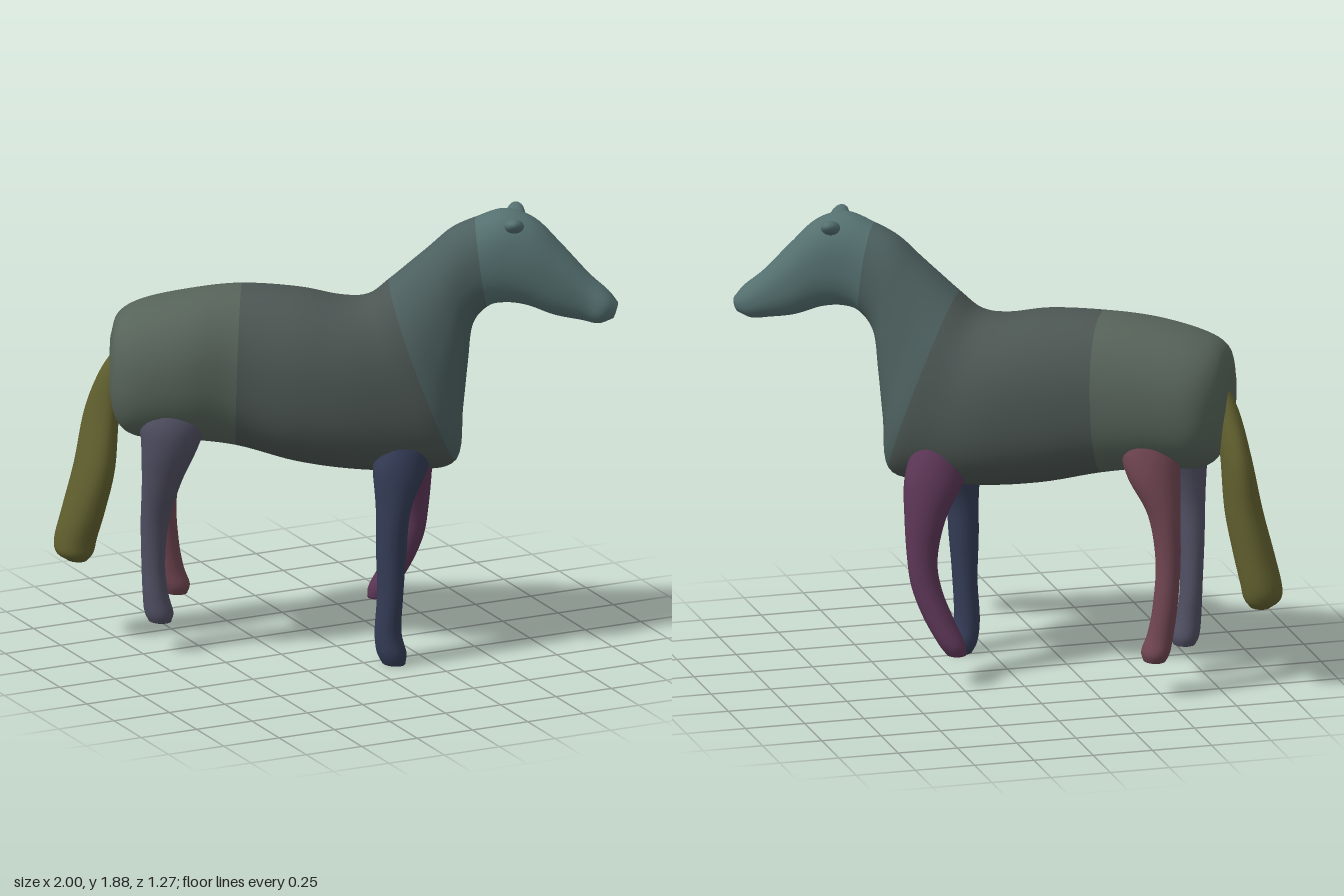
import * as THREE from 'three';

const V = (x, y, z) => new THREE.Vector3(x, y, z);
const soften = (v, power) => Math.sign(v) * Math.abs(v) ** power;

// Smooth closed skin through rounded rings; each row is [centre, half axis A, half axis B].
// A power below 1 makes the rings fuller than an ellipse.
function loft(rows, rings, sides, power) {
  const [centre, axisA, axisB] = [0, 1, 2].map(
    k => new THREE.CatmullRomCurve3(rows.map(r => r[k]), false, 'catmullrom', 0.5));
  const pos = [], index = [];
  const put = v => pos.push(v.x, v.y, v.z);
  for (let i = 0; i <= rings; i++) {
    const c = centre.getPoint(i / rings), a = axisA.getPoint(i / rings), b = axisB.getPoint(i / rings);
    for (let j = 0; j < sides; j++) {
      const t = (j / sides) * Math.PI * 2;
      put(c.clone().addScaledVector(a, soften(Math.cos(t), power)).addScaledVector(b, soften(Math.sin(t), power)));
    }
  }
  const first = (rings + 1) * sides, last = first + 1;
  put(centre.getPoint(0));
  put(centre.getPoint(1));
  for (let j = 0; j < sides; j++) index.push(first, (j + 1) % sides, j);
  for (let i = 0; i < rings; i++) {
    for (let j = 0; j < sides; j++) {
      const a = i * sides + j, b = i * sides + (j + 1) % sides;
      index.push(a, b, a + sides, b, b + sides, a + sides);
    }
  }
  for (let j = 0; j < sides; j++) index.push(last, rings * sides + j, rings * sides + (j + 1) % sides);
  const g = new THREE.BufferGeometry();
  g.setAttribute('position', new THREE.Float32BufferAttribute(pos, 3));
  g.setIndex(index);
  g.computeVertexNormals();
  return g;
}

function addMesh(parent, name, geometry, color) {
  const mesh = new THREE.Mesh(geometry, new THREE.MeshStandardMaterial({ color }));
  mesh.name = name;
  parent.add(mesh);
  return mesh;
}

// Leg or tail from horizontal rings: [x, y, z, radius x, radius z]
function addLimb(parent, name, rows, color) {
  const data = rows.map(([x, y, z, rx, rz]) => [V(x, y, z), V(rx, 0, 0), V(0, 0, rz)]);
  addMesh(parent, name, loft(data, 45, 24, 1), color);
}

export function createModel() {
  const horse = new THREE.Group();
  horse.name = 'horse';

  // Trunk, neck and head lie along local x and are turned toward the front
  const body = new THREE.Group();
  body.name = 'body';
  body.rotation.y = -0.49;
  body.position.z = 0.03;
  horse.add(body);

  // [top x, top y, bottom x, bottom y, half width, sideways shift], rump to muzzle
  const sections = [
    [-0.93, 1.32, -0.93, 1.08, 0.11, 0.02],
    [-0.90, 1.41, -0.90, 0.97, 0.20, 0.01],
    [-0.80, 1.465, -0.82, 0.91, 0.262, 0],
    [-0.60, 1.51, -0.64, 0.90, 0.28, 0],
    [-0.40, 1.53, -0.42, 0.87, 0.27, -0.015],
    [-0.17, 1.52, -0.17, 0.81, 0.295, 0],
    [0.00, 1.49, 0.08, 0.78, 0.295, 0.005],
    [0.11, 1.50, 0.32, 0.78, 0.265, 0.01],
    [0.20, 1.57, 0.475, 0.82, 0.24, 0.01],
    [0.28, 1.64, 0.50, 1.03, 0.20, 0.01],
    [0.36, 1.71, 0.52, 1.23, 0.17, 0.01],
    [0.45, 1.79, 0.54, 1.39, 0.145, 0.01],
    [0.55, 1.84, 0.60, 1.47, 0.13, 0.015],
    [0.67, 1.88, 0.67, 1.49, 0.125, 0.02],
    [0.79, 1.84, 0.76, 1.48, 0.122, 0.02],
    [0.90, 1.73, 0.87, 1.44, 0.11, 0.02],
    [1.01, 1.61, 0.98, 1.42, 0.09, 0.025],
    [1.09, 1.54, 1.05, 1.41, 0.08, 0.035],
    [1.13, 1.49, 1.11, 1.43, 0.045, 0.035],
  ];
  const rows = sections.map(([tx, ty, bx, by, w, off]) => [
    V((tx + bx) / 2, (ty + by) / 2, off),
    V((tx - bx) / 2, (ty - by) / 2, 0),
    V(0, 0, w),
  ]);
  const steps = 6, sides = 48, rings = (sections.length - 1) * steps;
  const skin = loft(rows, rings, sides, 0.9);

  // One continuous skin, divided into named regions by section number
  const regions = [
    ['hindquarters', 0, 4, 0x566359],
    ['barrel', 4, 8, 0x4b5552],
    ['neck', 8, 12, 0x4c605f],
    ['head', 12, 18, 0x557070],
  ];
  const all = Array.from(skin.index.array), cap = sides * 3, band = sides * 6;
  for (const [name, from, to, color] of regions) {
    const start = from === 0 ? 0 : cap + from * steps * band;
    const end = to * steps === rings ? all.length : cap + to * steps * band;
    const g = skin.clone();
    g.setIndex(all.slice(start, end));
    addMesh(body, name, g, color);
  }

  // Short rounded ears lying out sideways beside the poll
  for (const side of [-1, 1]) {
    const ear = addMesh(body, side > 0 ? 'rightEar' : 'leftEar', new THREE.SphereGeometry(1, 20, 14), 0x557070);
    ear.scale.set(0.04, 0.03, 0.085);
    ear.position.set(0.71, 1.83, 0.02 + side * 0.075);
    ear.rotation.x = -side * 0.35;
  }

  // Legs, each from its tapered root inside the trunk down to the hoof
  addLimb(horse, 'rightForeleg', [
    [0.20, 1.08, 0.24, 0.05, 0.04], [0.19, 0.98, 0.26, 0.11, 0.09], [0.15, 0.84, 0.29, 0.12, 0.095],
    [0.105, 0.66, 0.31, 0.07, 0.08], [0.095, 0.48, 0.31, 0.06, 0.07], [0.09, 0.30, 0.31, 0.05, 0.065],
    [0.085, 0.14, 0.30, 0.052, 0.063], [0.10, 0.05, 0.30, 0.058, 0.072], [0.11, 0.0, 0.30, 0.045, 0.06],
  ], 0x343c56);
  addLimb(horse, 'leftForeleg', [
    [0.25, 1.10, 0.05, 0.05, 0.04], [0.27, 0.98, 0.025, 0.11, 0.09], [0.31, 0.84, -0.01, 0.125, 0.095],
    [0.36, 0.68, -0.045, 0.085, 0.075], [0.378, 0.52, -0.065, 0.062, 0.06], [0.365, 0.40, -0.08, 0.06, 0.062],
    [0.325, 0.28, -0.11, 0.06, 0.065], [0.28, 0.18, -0.145, 0.055, 0.06], [0.26, 0.13, -0.155, 0.04, 0.045],
  ], 0x5c3656);
  addLimb(horse, 'rightHindLeg', [
    [-0.63, 1.18, -0.19, 0.06, 0.05], [-0.65, 1.04, -0.17, 0.14, 0.12], [-0.675, 0.91, -0.155, 0.12, 0.11],
    [-0.70, 0.74, -0.185, 0.078, 0.085], [-0.705, 0.56, -0.235, 0.055, 0.067], [-0.70, 0.38, -0.26, 0.045, 0.06],
    [-0.69, 0.25, -0.26, 0.05, 0.06], [-0.675, 0.17, -0.26, 0.057, 0.067], [-0.67, 0.13, -0.26, 0.045, 0.055],
  ], 0x504f62);
  addLimb(horse, 'leftHindLeg', [
    [-0.50, 1.18, -0.36, 0.06, 0.05], [-0.49, 1.04, -0.39, 0.12, 0.10], [-0.49, 0.91, -0.435, 0.11, 0.10],
    [-0.52, 0.75, -0.485, 0.065, 0.08], [-0.53, 0.56, -0.51, 0.05, 0.062], [-0.515, 0.38, -0.52, 0.05, 0.057],
    [-0.495, 0.26, -0.52, 0.053, 0.06], [-0.475, 0.19, -0.52, 0.058, 0.07], [-0.47, 0.15, -0.52, 0.045, 0.055],
  ], 0x6e4450);

  // Tail, hanging from the rump and widening to a rounded brush
  addLimb(horse, 'tail', [
    [-0.77, 1.28, -0.38, 0.03, 0.03], [-0.80, 1.15, -0.43, 0.05, 0.07], [-0.825, 0.97, -0.48, 0.06, 0.105],
    [-0.855, 0.75, -0.485, 0.075, 0.115], [-0.89, 0.57, -0.51, 0.082, 0.11], [-0.915, 0.44, -0.535, 0.083, 0.10],
    [-0.92, 0.38, -0.535, 0.075, 0.085], [-0.91, 0.345, -0.535, 0.04, 0.05],
  ], 0x61602f);

  return horse;
}
